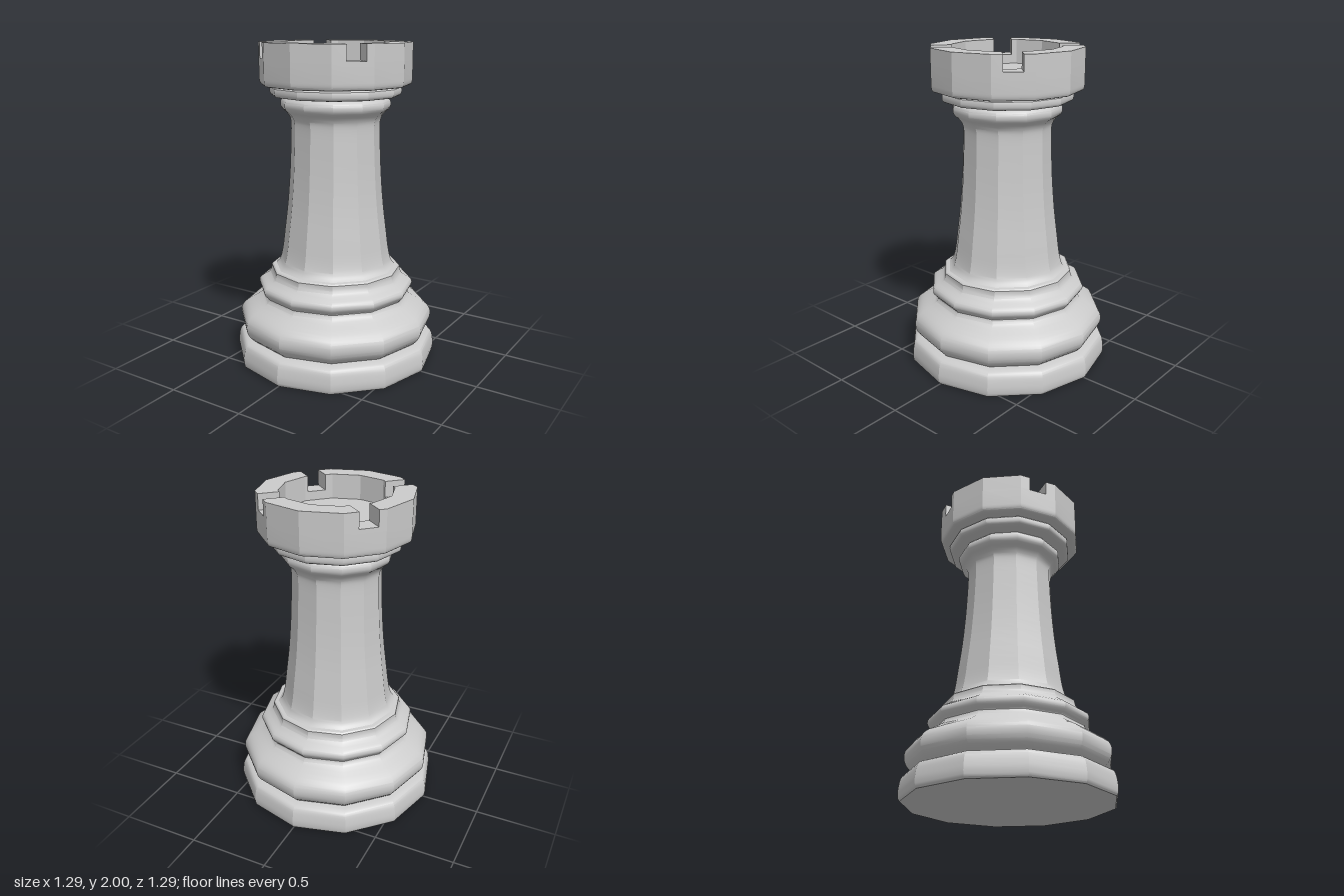
import * as THREE from 'three';
import { toCreasedNormals } from 'three/addons/utils/BufferGeometryUtils.js';

const SIDES = 12;
const CREASE = 0.5;             // keeps the twelve upright edges sharp, mouldings smooth
const RIM = 0.468, WELL = 0.337; // outer and inner corner radius of the battlements
const NOTCH_Y = 1.905, WELL_Y = 1.85, TOP = 2;
const material = new THREE.MeshStandardMaterial({ color: 0xcccccc });

// Smooth curve through a few [radius, height] points
function moulding(points, steps = 2) {
  const curve = new THREE.SplineCurve(points.map(p => new THREE.Vector2(...p)));
  return curve.getPoints((points.length - 1) * steps);
}

// Twelve-sided turned part
function turned(name, profile) {
  const geometry = toCreasedNormals(new THREE.LatheGeometry(profile, SIDES), CREASE);
  const mesh = new THREE.Mesh(geometry, material);
  mesh.name = name;
  return mesh;
}

// Corner [x, z] where a notch side meets the flat panel of a ring.
// panel: centre angle of the panel, angle: direction of the notch, side: +1 or -1
function notchCorner(radius, panel, angle, side) {
  const apothem = radius * Math.cos(Math.PI / SIDES);
  const s = apothem * Math.tan(angle - panel) + side * 0.0565;
  return [
    apothem * Math.cos(panel) - s * Math.sin(panel),
    apothem * Math.sin(panel) + s * Math.cos(panel),
  ];
}

// Block of the crown wall between two neighbouring notches
function merlon(index, angles) {
  const panelA = Math.PI / 4 + index * Math.PI / 2;
  const panelB = panelA + Math.PI / 2;
  const a = angles[index];
  const b = index === 3 ? angles[0] + Math.PI * 2 : angles[index + 1];
  const arc = radius => {
    const corners = [notchCorner(radius, panelA, a, 1)];
    for (let k = 0; k < 3; k++) {
      const t = panelA + (k + 0.5) * Math.PI / 6;
      corners.push([radius * Math.cos(t), radius * Math.sin(t)]);
    }
    corners.push(notchCorner(radius, panelB, b, -1));
    return corners;
  };
  const outline = [...arc(RIM), ...arc(WELL).reverse()];
  const shape = new THREE.Shape(outline.map(([x, z]) => new THREE.Vector2(x, -z)));
  const geometry = new THREE.ExtrudeGeometry(shape, { depth: TOP - NOTCH_Y, bevelEnabled: false });
  geometry.rotateX(-Math.PI / 2);
  geometry.translate(0, NOTCH_Y, 0);
  const mesh = new THREE.Mesh(geometry, material);
  mesh.name = 'merlon' + (index + 1);
  return mesh;
}

export function createModel() {
  const model = new THREE.Group();
  model.name = 'rook';

  // Foot plate with rounded upper edge
  model.add(turned('foot', [
    new THREE.Vector2(0, 0),
    new THREE.Vector2(0.632, 0),
    ...moulding([[0.64, 0.01], [0.645, 0.045], [0.641, 0.09], [0.632, 0.13], [0.612, 0.152], [0.565, 0.163]]),
  ]));

  // Broad belly, collar and step above it
  model.add(turned('base', [
    ...moulding([
      [0.565, 0.163], [0.598, 0.195], [0.618, 0.235], [0.62, 0.28], [0.604, 0.314],
      [0.57, 0.343], [0.515, 0.375], [0.478, 0.4], [0.466, 0.425],
    ]),
    ...moulding([
      [0.468, 0.43], [0.489, 0.452], [0.497, 0.475], [0.488, 0.499], [0.455, 0.52],
      [0.425, 0.542], [0.414, 0.572],
    ]),
    new THREE.Vector2(0.414, 0.588),
    new THREE.Vector2(0.405, 0.596),
    new THREE.Vector2(0.38, 0.6),
  ]));

  // Tapering shaft flaring into the neck ring
  model.add(turned('shaft', moulding([
    [0.385, 0.598], [0.367, 0.615], [0.352, 0.645], [0.338, 0.71], [0.324, 0.82], [0.302, 1],
    [0.286, 1.2], [0.277, 1.4], [0.275, 1.5], [0.281, 1.54], [0.3, 1.572],
    [0.328, 1.597], [0.34, 1.622], [0.336, 1.65], [0.315, 1.672],
  ], 3)));

  // Thin ring below the crown
  model.add(turned('neckRing', moulding([
    [0.31, 1.674], [0.375, 1.678], [0.398, 1.686], [0.405, 1.705], [0.402, 1.73], [0.385, 1.743],
  ])));

  // Crown body, notch floor and sunken well
  model.add(turned('crown', [
    ...moulding([[0.38, 1.738], [0.43, 1.741], [0.456, 1.747], [0.465, 1.76], [RIM, 1.785]]),
    new THREE.Vector2(RIM, NOTCH_Y),
    new THREE.Vector2(WELL, NOTCH_Y),
    new THREE.Vector2(WELL, WELL_Y),
    new THREE.Vector2(0, WELL_Y),
  ]));

  // Battlements: one pair of notches is turned slightly off the diagonal
  const battlements = new THREE.Group();
  battlements.name = 'battlements';
  const notchAngles = [42.5, 135, 222.5, 315].map(THREE.MathUtils.degToRad);
  for (let i = 0; i < 4; i++) battlements.add(merlon(i, notchAngles));
  model.add(battlements);

  return model;
}
